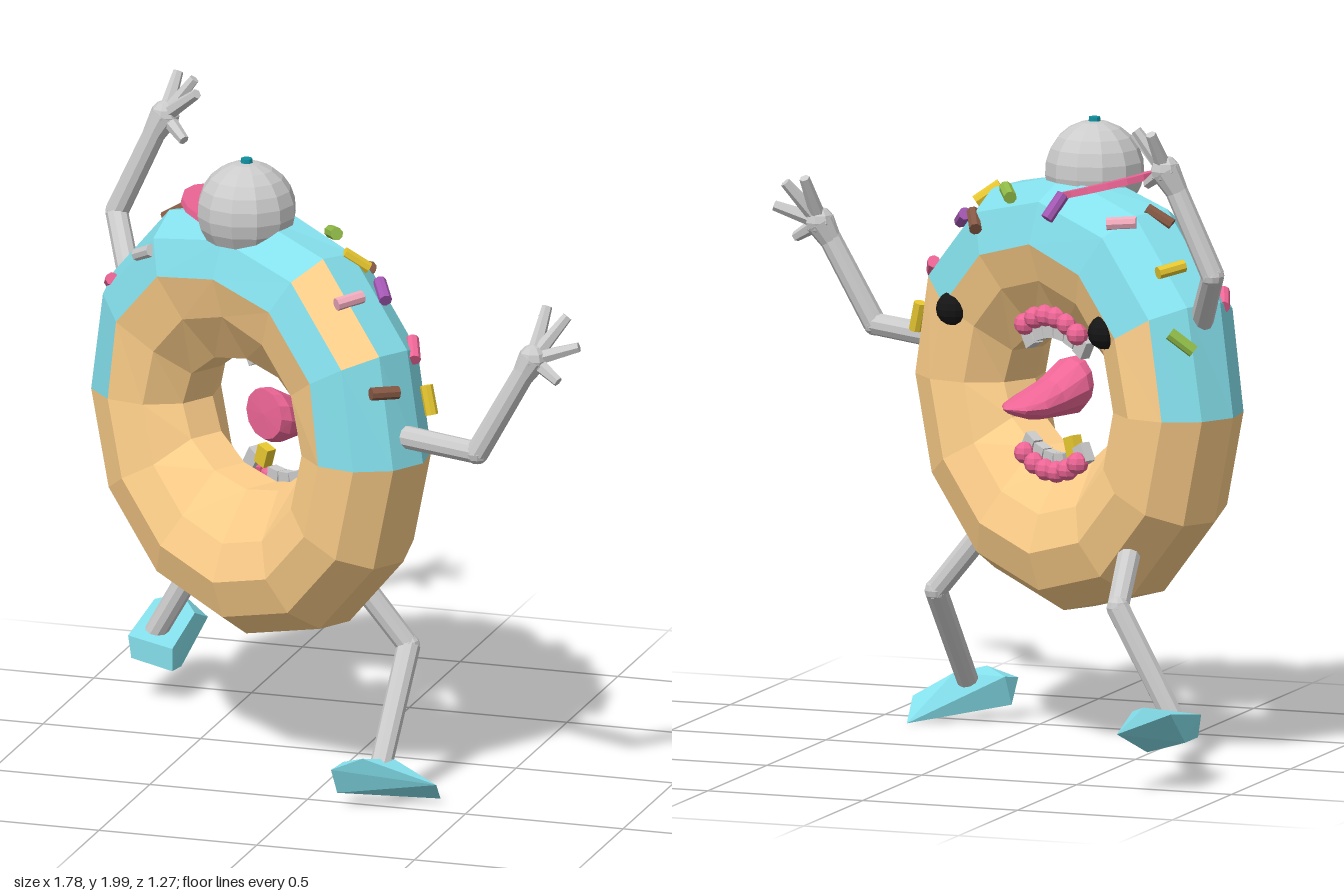
import * as THREE from 'three';
import { ConvexGeometry } from 'three/addons/geometries/ConvexGeometry.js';

const V = (x, y, z) => new THREE.Vector3(x, y, z);
const mat = (color) => new THREE.MeshStandardMaterial({ color, flatShading: true, side: THREE.DoubleSide });
const GREY = mat(0xcccccc), DOUGH = mat(0xfecf8a), ICING = mat(0x84e0ec), PINK = mat(0xee6696);
const YELLOW = mat(0xe8c830), GREEN = mat(0x90bc48), BROWN = mat(0x855844), PURPLE = mat(0xa458b4);
const ROSE = mat(0xf0aabc), BLACK = mat(0x151515), TEAL = mat(0x1090a0);

// Ring size: major radius and tube radius
const R = 0.473, r = 0.197;

function add(parent, name, geometry, material, pos) {
  const m = new THREE.Mesh(geometry, material);
  m.name = name;
  if (pos) m.position.copy(pos);
  parent.add(m);
  return m;
}

// Tapered rod between two points
function rod(parent, name, a, b, ra, rb, sides = 10) {
  const d = b.clone().sub(a);
  const m = add(parent, name, new THREE.CylinderGeometry(rb, ra, d.length(), sides), GREY, a.clone().lerp(b, 0.5));
  m.quaternion.setFromUnitVectors(V(0, 1, 0), d.normalize());
}

// Bent limb: rods with round joints
function limb(parent, name, pts, radius) {
  const g = new THREE.Group();
  g.name = name;
  for (let i = 0; i < pts.length - 1; i++) {
    rod(g, name + 'Segment', pts[i], pts[i + 1], radius, radius * 0.95);
    if (i) add(g, name + 'Joint', new THREE.SphereGeometry(radius, 10, 6), GREY, pts[i]);
  }
  parent.add(g);
}

// Palm with four spread fingers; the last tip is the thumb
function hand(parent, name, wrist, palm, tips) {
  const g = new THREE.Group();
  g.name = name;
  rod(g, 'palm', wrist, palm, 0.034, 0.046);
  add(g, 'palmTop', new THREE.SphereGeometry(0.046, 8, 6), GREY, palm);
  for (const tip of tips) rod(g, 'finger', palm, tip, 0.025, 0.016, 6);
  parent.add(g);
}

// Faceted ring, with its quads sorted into icing and dough
function ring(parent) {
  const N = 12, M = 10, icing = [], dough = [];
  const point = (j, k) => {
    const a = (j / N) * Math.PI * 2, t = ((k - 0.5) / M) * Math.PI * 2;
    const c = Math.cos(t), s = Math.sin(t);
    // The iced half bulges outward; the hole is squashed in height
    const iced = j > 0 && j < 6 && (c > 0.1 || (c > -0.1 && s > 0));
    const bulge = iced ? (j === 3 ? 0.01 : s > 0 ? 0.03 : 0.02) : 0;
    const squash = c < -0.9 ? 0.72 : 1;
    const rad = R + r * c + bulge;
    return [rad * Math.cos(a), rad * Math.sin(a) * squash, r * s];
  };
  for (let j = 0; j < N; j++) for (let k = 0; k < M; k++) {
    const iced = j < 6 && (k === 0 || k === 9 || k === 2 || (k === 1 && j !== 1) || (k === 8 && j > 0 && j < 5));
    const [a, b, c, d] = [point(j, k), point(j + 1, k), point(j + 1, k + 1), point(j, k + 1)];
    (iced ? icing : dough).push(...a, ...b, ...c, ...a, ...c, ...d);
  }
  for (const [name, list, m] of [['icing', icing, ICING], ['dough', dough, DOUGH]]) {
    const g = new THREE.BufferGeometry();
    g.setAttribute('position', new THREE.Float32BufferAttribute(list, 3));
    g.computeVertexNormals();
    add(parent, name, g, m);
  }
}

// Sprinkle lying on the ring at local x, z, turned by an angle in degrees
function sprinkle(parent, x, z, turn, material) {
  const rad = R + 0.012 + Math.sqrt(r * r - z * z);
  const y = Math.sqrt(Math.max(0, rad * rad - x * x));
  const a = Math.atan2(y, x), q = (turn * Math.PI) / 180;
  const t = V(-Math.sin(a), Math.cos(a), 0);
  const n = V(x - R * Math.cos(a), y - R * Math.sin(a), z).normalize();
  const dir = t.clone().multiplyScalar(Math.cos(q)).addScaledVector(n.clone().cross(t), Math.sin(q));
  const m = add(parent, 'sprinkle', new THREE.CylinderGeometry(0.02, 0.02, 0.09, 8), material, V(x, y, z));
  m.quaternion.setFromUnitVectors(V(0, 1, 0), dir.normalize());
}

function mouth(parent) {
  // Rows of gum balls with teeth, above and below
  for (const s of [1, -1]) {
    const row = s > 0 ? 'upper' : 'lower';
    for (let i = 0; i < 6; i++) {
      const a = (i - 2.5) * 0.21;
      const at = (h, z) => V(Math.sin(a) * 0.25, s * (h - 0.3 * (1 - Math.cos(a))), z);
      add(parent, row + 'Gum', new THREE.SphereGeometry(0.034, 8, 6), PINK, at(s > 0 ? 0.245 : 0.23, -0.11));
      const gold = s < 0 && i === 1;
      const tooth = add(parent, row + 'Tooth', new THREE.BoxGeometry(0.045, 0.06, 0.035),
        gold ? YELLOW : GREY, at(gold ? 0.16 : 0.205, -0.085));
      tooth.rotation.z = -s * a;
    }
  }
  // Tongue: a lathed drop, flattened and drooping toward its tip
  const profile = [[0, 0], [0.08, 0.005], [0.095, 0.04], [0.085, 0.14], [0.085, 0.22], [0.06, 0.29], [0, 0.34]];
  const g = new THREE.LatheGeometry(profile.map((p) => new THREE.Vector2(...p)), 12);
  g.rotateX(-Math.PI / 2);
  const p = g.attributes.position;
  for (let i = 0; i < p.count; i++) {
    const f = -p.getZ(i) / 0.34;
    p.setX(i, p.getX(i) - 0.06 * f);
    p.setY(i, p.getY(i) * (1 - 0.75 * f) - 0.05 * Math.sin(2 * f));
  }
  g.computeVertexNormals();
  add(parent, 'tongue', g, PINK, V(0.03, 0.03, 0.02));
}

export function createModel() {
  const model = new THREE.Group();
  model.name = 'ringCharacter';

  // Body, turned so that the face looks backward
  const body = new THREE.Group();
  body.name = 'body';
  body.position.set(-0.25, 1.085, 0.18);
  body.rotation.y = -Math.PI / 6;
  model.add(body);
  ring(body);
  mouth(body);
  for (const pos of [V(0.39, 0.225, -0.175), V(-0.335, 0.245, -0.175)]) {
    add(body, 'eye', new THREE.SphereGeometry(0.052, 12, 8), BLACK, pos);
  }
  const sprinkles = [
    [-0.505, -0.055, 90, YELLOW], [-0.61, -0.098, 40, GREEN], [-0.544, 0.118, -45, PINK],
    [-0.357, 0.021, 30, BROWN], [-0.324, -0.1, 55, ROSE], [-0.344, 0.164, -15, GREY],
    [-0.08, -0.16, 90, PURPLE], [0.175, -0.136, -40, GREEN], [0.294, -0.17, -65, BROWN],
    [0.354, -0.066, 45, YELLOW], [0.442, -0.094, -30, PURPLE], [0.558, -0.114, -40, PINK],
    [0.46, 0.057, 85, ROSE], [0.627, 0.065, 80, BROWN], [0.6, -0.14, 0, YELLOW],
  ];
  for (const s of sprinkles) sprinkle(body, ...s);

  // Cap with bill and button
  const cap = new THREE.Group();
  cap.name = 'cap';
  cap.position.set(-0.28, 1.76, 0.23);
  model.add(cap);
  add(cap, 'capDome', new THREE.SphereGeometry(0.152, 12, 8, 0, Math.PI * 2, 0, 2.2), GREY);
  add(cap, 'capButton', new THREE.CylinderGeometry(0.018, 0.02, 0.02, 8), TEAL, V(0, 0.152, 0));
  const bill = add(cap, 'capBill', new THREE.CylinderGeometry(0.16, 0.16, 0.02, 16), PINK, V(-0.07, -0.03, -0.08));
  bill.quaternion.setFromUnitVectors(V(0, 1, 0), V(0.26, 1, 0.04).normalize());

  // Arms and hands
  limb(model, 'rightArm', [V(-0.75, 1.37, -0.1), V(-0.86, 1.55, -0.29), V(-0.73, 1.83, -0.29)], 0.036);
  hand(model, 'rightHand', V(-0.745, 1.8, -0.29), V(-0.71, 1.865, -0.3),
    [V(-0.59, 1.96, -0.24), V(-0.62, 1.985, -0.31), V(-0.69, 1.985, -0.37), V(-0.63, 1.81, -0.24)]);
  limb(model, 'leftArm', [V(0.25, 1.17, 0.46), V(0.57, 1.18, 0.6), V(0.72, 1.45, 0.59)], 0.036);
  hand(model, 'leftHand', V(0.71, 1.43, 0.59), V(0.74, 1.485, 0.58),
    [V(0.76, 1.63, 0.5), V(0.83, 1.61, 0.52), V(0.88, 1.53, 0.56), V(0.83, 1.43, 0.61)]);

  // Legs and feet
  limb(model, 'rightLeg', [V(-0.52, 0.66, -0.1), V(-0.58, 0.53, -0.36), V(-0.77, 0.2, -0.38)], 0.036);
  limb(model, 'leftLeg', [V(0.08, 0.64, 0.26), V(0.24, 0.44, 0.25), V(0.23, 0.13, 0.49)], 0.036);
  add(model, 'rightFoot', new ConvexGeometry([
    V(-0.83, 0.21, -0.31), V(-0.82, 0.14, -0.31), V(-0.69, 0.18, -0.31), V(-0.69, 0.11, -0.31),
    V(-0.69, 0.1, -0.4), V(-0.82, 0.14, -0.42), V(-0.83, 0.25, -0.57), V(-0.75, 0.27, -0.59),
    V(-0.68, 0.19, -0.63), V(-0.68, 0.24, -0.5)]), ICING);
  add(model, 'leftFoot', new ConvexGeometry([
    V(0.1, 0.13, 0.58), V(0.11, 0.05, 0.55), V(0.12, 0.14, 0.52), V(0.19, 0.165, 0.55),
    V(0.27, 0.15, 0.48), V(0.395, 0.075, 0.46), V(0.38, 0.005, 0.37)]), ICING);
  return model;
}
